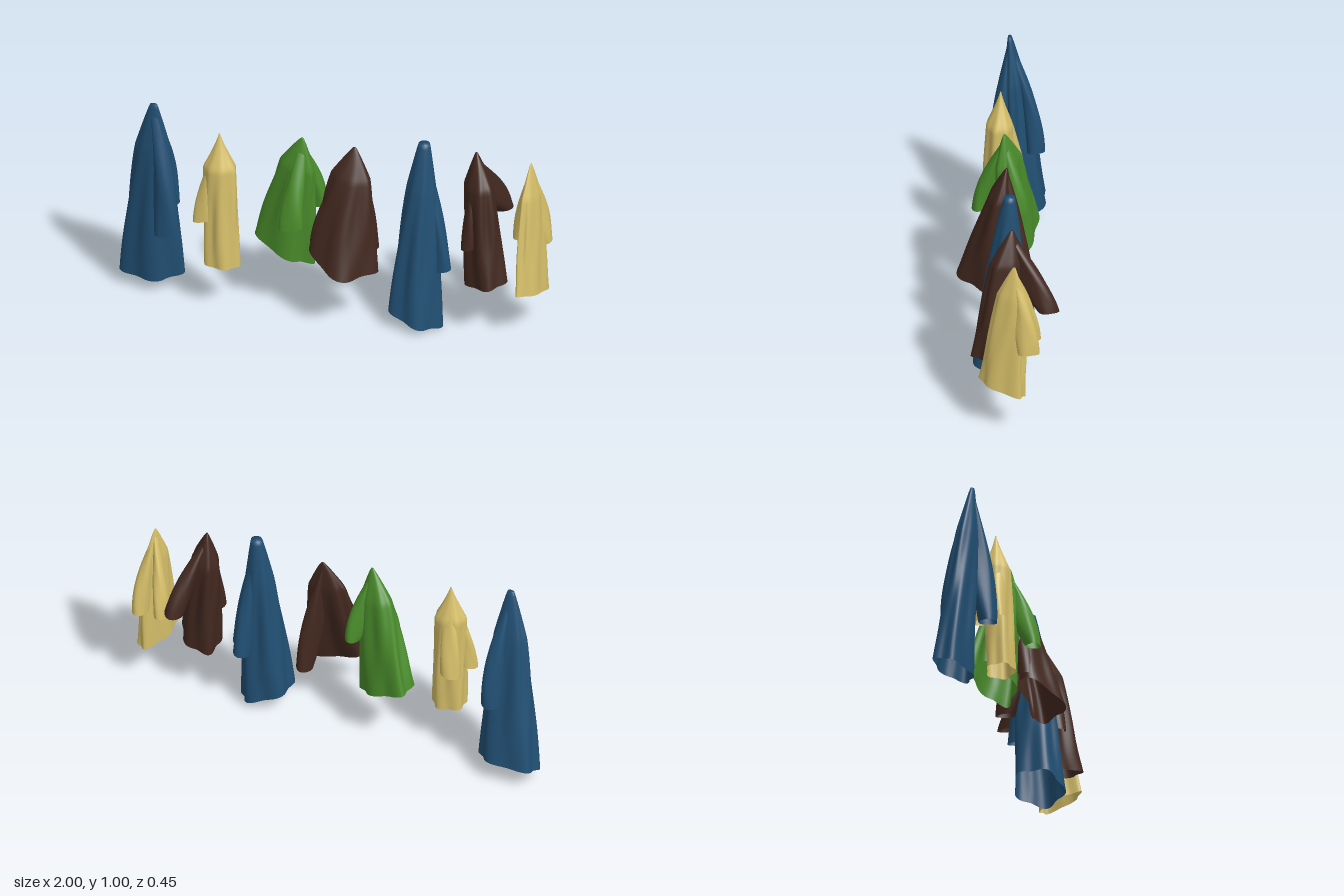
import * as THREE from 'three';

const BLUE = 0x214f73, YELLOW = 0xd6bf69, GREEN = 0x4a8c2b, BROWN = 0x42281f;
const { sin, cos, PI, max, hypot } = Math;
const lerp = THREE.MathUtils.lerp;

// Smooth tube of cloth; ringPoint(t, a) gives [x, y, z] at drop t and angle a
function loft(rows, cols, ringPoint) {
  const pos = [], index = [];
  for (let i = 0; i <= rows; i++) {
    for (let j = 0; j < cols; j++) {
      pos.push(...ringPoint(i / rows, -j / cols * PI * 2));
      if (i === rows) continue;
      const a = i * cols + j, b = i * cols + (j + 1) % cols;
      index.push(a, b, a + cols, b, b + cols, a + cols);
    }
  }
  const g = new THREE.BufferGeometry();
  g.setAttribute('position', new THREE.Float32BufferAttribute(pos, 3));
  g.setIndex(index);
  g.computeVertexNormals();
  return g;
}

// Cloth hanging from a peak: narrow neck, shoulders, then a bent and folded oval hem
function bodyGeometry({ top, hem, oval, tilt, shoulder, bend = 0, neck = 0.04, slope = 0.9, sag = 0 }) {
  const [long, short, turn] = oval;
  return loft(44, 80, (s, a) => {
    // the first ring closes the tip
    const t = max(0, s * 45 - 1) / 44;
    const spread = s === 0 ? 0 : t < 0.25
      ? lerp(neck, shoulder, (t / 0.25) ** slope)
      : lerp(shoulder, 1, ((t - 0.25) / 0.75) ** 0.9);
    // folds deepen towards the hem and twist a little on the way down
    const fold = 1 - t * (0.08 + 0.09 * sin(a * 5 + t * 2 + top[0] * 20)) + 0.05 * sin(a * 7 - t * 5) * sin(PI * t);
    const u = long * cos(a) * fold;
    const v = short * sin(a) * fold - bend * t * cos(2 * a);
    const dx = u * cos(turn) - v * sin(turn), dz = u * sin(turn) + v * cos(turn);
    const bottom = hem[1] + tilt[0] * dx + tilt[1] * dz - sag * sin(a) ** 2;
    return [
      lerp(top[0], hem[0], t) + dx * spread,
      lerp(top[1], bottom, t),
      lerp(top[2], hem[2], t) + dz * spread,
    ];
  });
}

// Limp sleeve falling to an open cuff; its inner side is drawn in to the body higher up
function sleeveGeometry({ top, hem, curve = 0.4 }, [x, y, z, rx, rz]) {
  return loft(26, 36, (t, a) => {
    const out = lerp(t, sin(t * PI / 2), curve);
    const fold = lerp(0.25, 1, sin(t * PI / 2)) * (1 + 0.07 * sin(a * 3 + t * 6));
    const cx = lerp(top[0], x, out), cz = lerp(top[2], z, out);
    const height = lerp(top[1] - 0.04, y, t) + rx * cos(a) * 0.2 * t;
    const drop = (top[1] - height) / (top[1] - hem[1]);
    const ax = lerp(top[0], hem[0], drop), az = lerp(top[2], hem[2], drop);
    const inward = max(0, (cos(a) * (ax - cx) + sin(a) * (az - cz)) / (hypot(ax - cx, az - cz) + 0.001));
    const web = 0.8 * (1 - t * t) * inward;
    return [
      lerp(cx + rx * cos(a) * fold, ax, web),
      height,
      lerp(cz + rz * sin(a) * fold, az, web),
    ];
  });
}

export function createModel() {
  const model = new THREE.Group();
  model.name = 'hangingClothes';

  // top: peak; hem: centre of the hem; oval: half length, half width, turn;
  // tilt: hem slope along x and z; cuffs: centre and two radii
  function addGarment(name, color, spec) {
    const garment = new THREE.Group();
    garment.name = name;
    const material = new THREE.MeshStandardMaterial({ color, side: THREE.DoubleSide });
    const add = (part, geometry) => {
      const mesh = new THREE.Mesh(geometry, material);
      mesh.name = part;
      garment.add(mesh);
    };
    add('body', bodyGeometry(spec));
    spec.cuffs.forEach((cuff, i) => add(i ? 'secondSleeve' : 'firstSleeve', sleeveGeometry(spec, cuff)));
    model.add(garment);
  }

  addGarment('longCoatRight', BLUE, {
    top: [-0.83, 1, -0.055], hem: [-0.85, 0.09, -0.14], oval: [0.157, 0.088, 0.15], tilt: [0.06, -0.3], shoulder: 0.52,
    neck: 0.1, curve: 1, cuffs: [[-0.76, 0.36, 0.005, 0.055, 0.042], [-0.77, 0.42, -0.168, 0.045, 0.042]],
  });
  addGarment('shortCoatRight', YELLOW, {
    top: [-0.52, 0.9, 0], hem: [-0.505, 0.23, 0.02], oval: [0.085, 0.07, 0], tilt: [-0.05, 0.05], shoulder: 0.88,
    slope: 1.2, curve: 0.6, cuffs: [[-0.59, 0.46, 0.03, 0.046, 0.032], [-0.54, 0.46, -0.075, 0.048, 0.034]],
  });
  addGarment('flaredJacket', GREEN, {
    top: [-0.14, 0.91, 0], hem: [-0.235, 0.3, -0.065], oval: [0.155, 0.09, 0.45], tilt: [-0.38, -0.05], shoulder: 0.58,
    bend: 0.01, curve: 0.7, cuffs: [[-0.175, 0.5, 0.115, 0.054, 0.034], [-0.065, 0.54, -0.06, 0.036, 0.045]],
  });
  addGarment('openJacket', BROWN, {
    top: [0.1, 0.88, 0], hem: [0.055, 0.34, 0.1], oval: [0.165, 0.09, 0.15], tilt: [-0.28, -0.1], shoulder: 0.55,
    bend: 0.035, sag: 0.03, curve: 0.7, cuffs: [[-0.045, 0.42, 0.06, 0.048, 0.045], [0.165, 0.32, -0.07, 0.038, 0.045]],
  });
  addGarment('longCoatLeft', BLUE, {
    top: [0.42, 0.93, 0], hem: [0.385, 0.05, 0.045], oval: [0.128, 0.122, 0], tilt: [-0.35, -0.05], shoulder: 0.52,
    neck: 0.2, cuffs: [[0.513, 0.295, 0.04, 0.036, 0.037], [0.47, 0.32, -0.075, 0.037, 0.036]],
  });
  addGarment('wideJacket', BROWN, {
    top: [0.66, 0.9, 0], hem: [0.71, 0.27, 0.06], oval: [0.138, 0.095, 1.1], tilt: [0.2, 0.05], shoulder: 0.66,
    curve: 0.5, cuffs: [[0.765, 0.53, -0.16, 0.042, 0.048], [0.635, 0.45, 0.08, 0.033, 0.05]],
  });
  addGarment('shortCoatLeft', YELLOW, {
    top: [0.91, 0.86, 0], hem: [0.92, 0.22, 0.055], oval: [0.118, 0.05, -1.1], tilt: [0, 0.25], shoulder: 0.6,
    curve: 0.9, cuffs: [[0.855, 0.44, -0.07, 0.035, 0.05], [0.963, 0.43, -0.06, 0.037, 0.05]],
  });
  return model;
}
